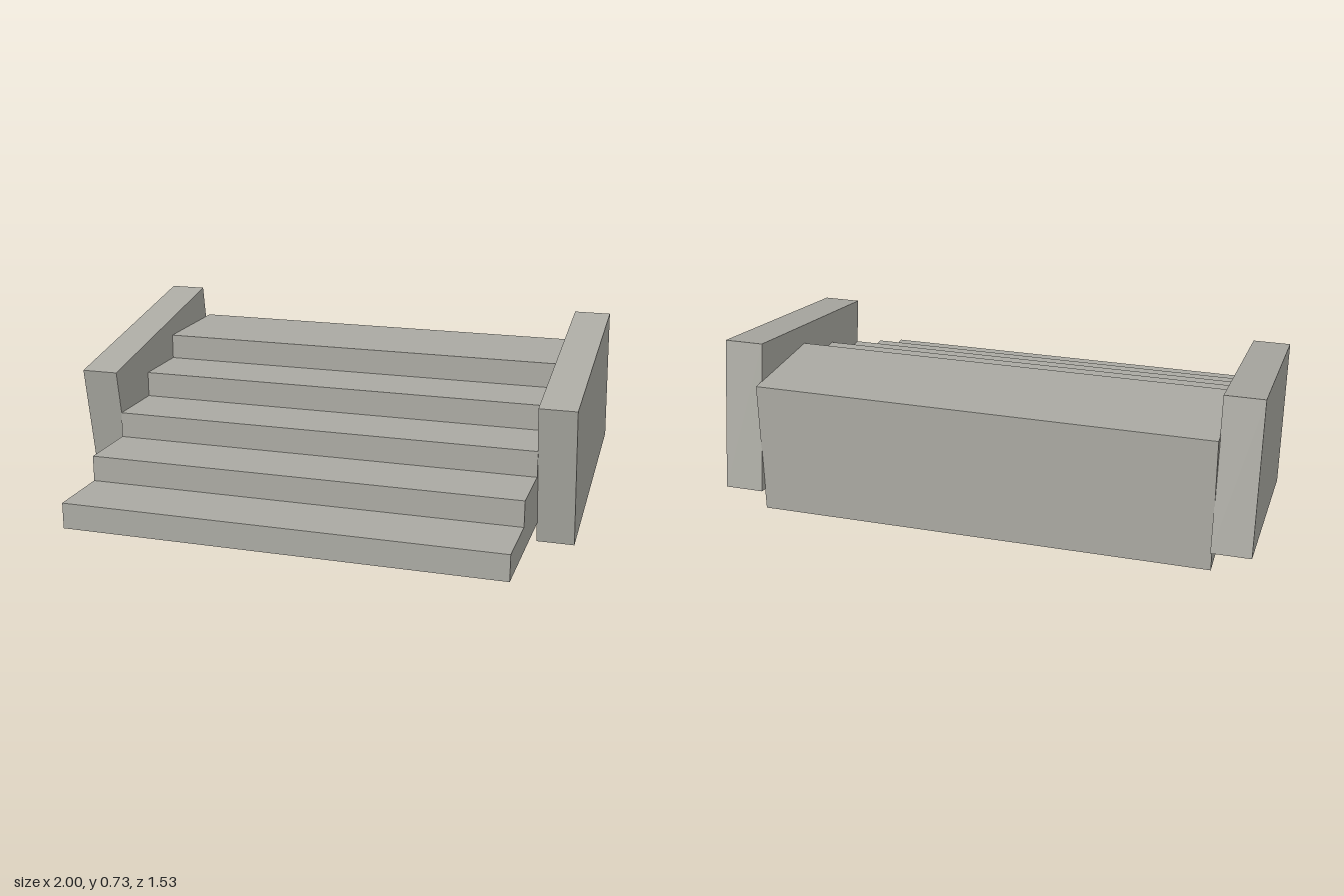
import * as THREE from 'three';

export function createModel() {
  const group = new THREE.Group();
  const stone = new THREE.MeshStandardMaterial({ color: 0xaaa9a2 });
  stone.name = 'greyStone';

  // Staircase: stepped side profile (drawn as -z, y) extruded across the width
  const steps = 5, bottom = 0.082, rise = 0.102, front = 0.763, tread = 0.2655, back = -0.732;
  const halfWidth = 0.856;
  const profile = new THREE.Shape();
  profile.moveTo(-front, bottom);
  for (let i = 0; i < steps; i++) {
    const y = bottom + rise * (i + 1);
    profile.lineTo(-(front - tread * i), y);
    profile.lineTo(i < steps - 1 ? -(front - tread * (i + 1)) : -back, y);
  }
  profile.lineTo(-back, bottom);
  profile.closePath();
  const stairGeometry = new THREE.ExtrudeGeometry(profile, { depth: halfWidth * 2, bevelEnabled: false });
  stairGeometry.translate(0, 0, -halfWidth).rotateY(Math.PI / 2);
  const stairs = new THREE.Mesh(stairGeometry, stone);
  stairs.name = 'stairs';
  group.add(stairs);

  // Tilted slab walls on both sides
  const inner = 0.854;
  for (const [side, name] of [[1, 'leftWall'], [-1, 'rightWall']]) {
    const wall = new THREE.Mesh(new THREE.BoxGeometry(1 - inner, 0.573, 0.94), stone);
    wall.position.set(side * (1 + inner) / 2, 0.367, -0.249);
    wall.rotation.x = 0.18;
    wall.name = name;
    group.add(wall);
  }
  return group;
}
